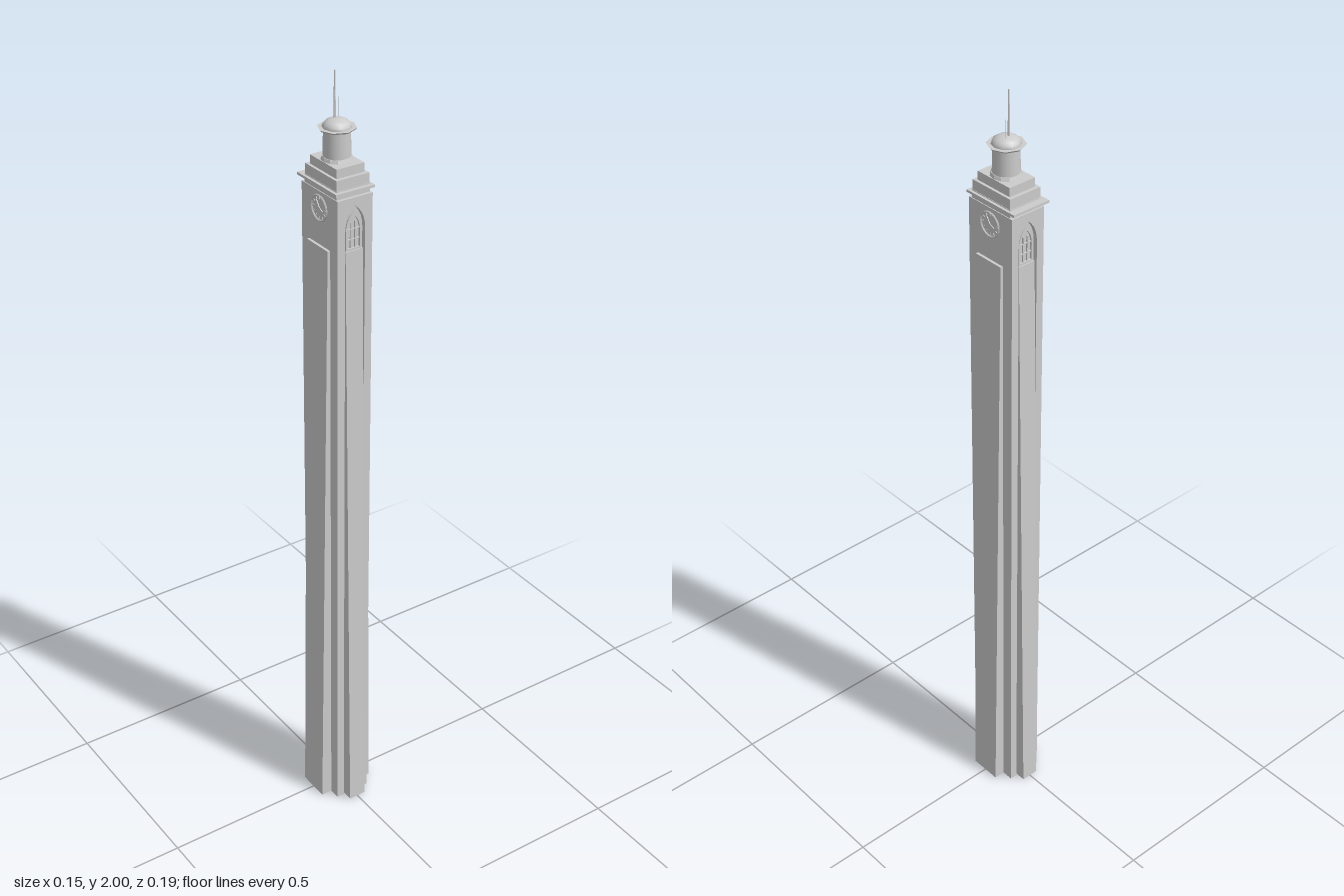
import * as THREE from 'three';

const material = new THREE.MeshStandardMaterial({ color: 0xcccccc, flatShading: true, side: THREE.DoubleSide });
const smooth = new THREE.MeshStandardMaterial({ color: 0xcccccc, side: THREE.DoubleSide });

function add(parent, name, geometry, x = 0, y = 0, z = 0, mat = material) {
  const mesh = new THREE.Mesh(geometry, mat);
  mesh.name = name;
  mesh.position.set(x, y, z);
  parent.add(mesh);
  return mesh;
}

// Box standing on y0
function block(parent, name, w, y0, y1, d, x = 0, z = 0) {
  return add(parent, name, new THREE.BoxGeometry(w, y1 - y0, d), x, (y0 + y1) / 2, z);
}

// Pier whose outer (+z) face leans inward towards the top
function pierGeometry(width, height, inner, outerBase, outerTop) {
  const s = new THREE.Shape();
  s.moveTo(inner, 0);
  s.lineTo(outerBase, 0);
  s.lineTo(outerTop, height);
  s.lineTo(inner, height);
  const g = new THREE.ExtrudeGeometry(s, { depth: width, bevelEnabled: false });
  g.translate(0, 0, -width / 2);
  g.rotateY(-Math.PI / 2);
  return g;
}

// Pointed arch line running from one spring point over the tip to the other
function archPoints(half, spring, tip) {
  const l = new THREE.QuadraticBezierCurve(
    new THREE.Vector2(-half, spring), new THREE.Vector2(-half, (spring + tip) / 2 + 0.008), new THREE.Vector2(0, tip));
  const left = l.getPoints(5);
  const right = left.slice(0, -1).reverse().map(p => new THREE.Vector2(-p.x, p.y));
  return [...left, ...right];
}

function frontFace() {
  const face = new THREE.Group();

  // Wall skin with a tall pointed-arch recess
  const wall = new THREE.Shape([
    new THREE.Vector2(0.047, 0), new THREE.Vector2(0.047, 1.73),
    new THREE.Vector2(-0.047, 1.73), new THREE.Vector2(-0.047, 0),
    new THREE.Vector2(-0.027, 0), ...archPoints(0.027, 1.65, 1.71), new THREE.Vector2(0.027, 0)
  ]);
  add(face, 'archedWall', new THREE.ExtrudeGeometry(wall, { depth: 0.012, bevelEnabled: false }), 0, 0, 0.06);
  add(face, 'frontPier', pierGeometry(0.047, 1.6, 0.05, 0.097, 0.069));

  // Window tracery in the head of the recess
  const frame = new THREE.Shape([
    new THREE.Vector2(-0.021, 1.6), ...archPoints(0.021, 1.645, 1.692), new THREE.Vector2(0.021, 1.6)
  ]);
  frame.holes.push(new THREE.Path([
    new THREE.Vector2(-0.017, 1.605), ...archPoints(0.017, 1.645, 1.685), new THREE.Vector2(0.017, 1.605)
  ]));
  add(face, 'windowFrame', new THREE.ExtrudeGeometry(frame, { depth: 0.006, bevelEnabled: false }), 0, 0, 0.06);
  for (const x of [-0.006, 0.006]) block(face, 'windowMullion', 0.002, 1.6, 1.668, 0.005, x, 0.062);
  for (const y of [1.625, 1.65]) block(face, 'windowBar', 0.036, y, y + 0.002, 0.005, 0, 0.062);
  return face;
}

function sideFace() {
  const face = new THREE.Group();
  add(face, 'sidePier', pierGeometry(0.084, 1.6, 0.04, 0.076, 0.054));

  // Clock ring, hour marks and hands
  add(face, 'clockRing', new THREE.TorusGeometry(0.03, 0.0025, 4, 20), 0, 1.69, 0.048);
  for (let i = 0; i < 12; i++) {
    const a = i * Math.PI / 6;
    const mark = add(face, 'hourMark', new THREE.BoxGeometry(0.002, 0.006, 0.003),
      Math.sin(a) * 0.024, 1.69 + Math.cos(a) * 0.024, 0.047);
    mark.rotation.z = -a;
  }
  for (const [length, angle] of [[0.021, 0.6], [0.015, -2]]) {
    const hand = new THREE.BoxGeometry(0.002, length, 0.002);
    hand.translate(0, length / 2, 0);
    add(face, 'clockHand', hand, 0, 1.69, 0.048).rotation.z = angle;
  }
  return face;
}

export function createModel() {
  const tower = new THREE.Group();
  tower.name = 'clockTower';

  // Shaft
  block(tower, 'shaftCore', 0.094, 0, 1.73, 0.122);
  for (const turn of [0, 1]) {
    const front = frontFace();
    front.name = turn ? 'backFace' : 'frontFace';
    front.rotation.y = turn * Math.PI;
    const side = sideFace();
    side.name = turn ? 'rightFace' : 'leftFace';
    side.rotation.y = Math.PI / 2 + turn * Math.PI;
    tower.add(front, side);
  }

  // Cornice and stepped roof
  block(tower, 'corniceNeck', 0.09, 1.72, 1.75, 0.128);
  block(tower, 'cornice', 0.104, 1.742, 1.748, 0.157, 0, -0.005);
  block(tower, 'lowerStep', 0.088, 1.748, 1.775, 0.125);
  block(tower, 'upperStep', 0.074, 1.775, 1.797, 0.106);

  // Lantern drum, rim, dome and mast
  add(tower, 'lanternBase', new THREE.CylinderGeometry(0.034, 0.037, 0.008, 12), 0, 1.801, 0);
  add(tower, 'lanternDrum', new THREE.CylinderGeometry(0.031, 0.032, 0.07, 20), 0, 1.835, 0, smooth);
  add(tower, 'lanternRim', new THREE.CylinderGeometry(0.045, 0.042, 0.004, 8), 0, 1.87, 0);
  const dome = new THREE.SphereGeometry(0.034, 10, 5, 0, Math.PI * 2, 0, Math.PI / 2);
  dome.scale(1, 0.6, 1);
  add(tower, 'dome', dome, 0, 1.872, 0, smooth);
  add(tower, 'mast', new THREE.CylinderGeometry(0.0015, 0.003, 0.12, 6), -0.002, 1.94, -0.006);
  add(tower, 'lightningRod', new THREE.CylinderGeometry(0.0007, 0.0007, 0.05, 4), 0.01, 1.91, -0.01);
  return tower;
}
